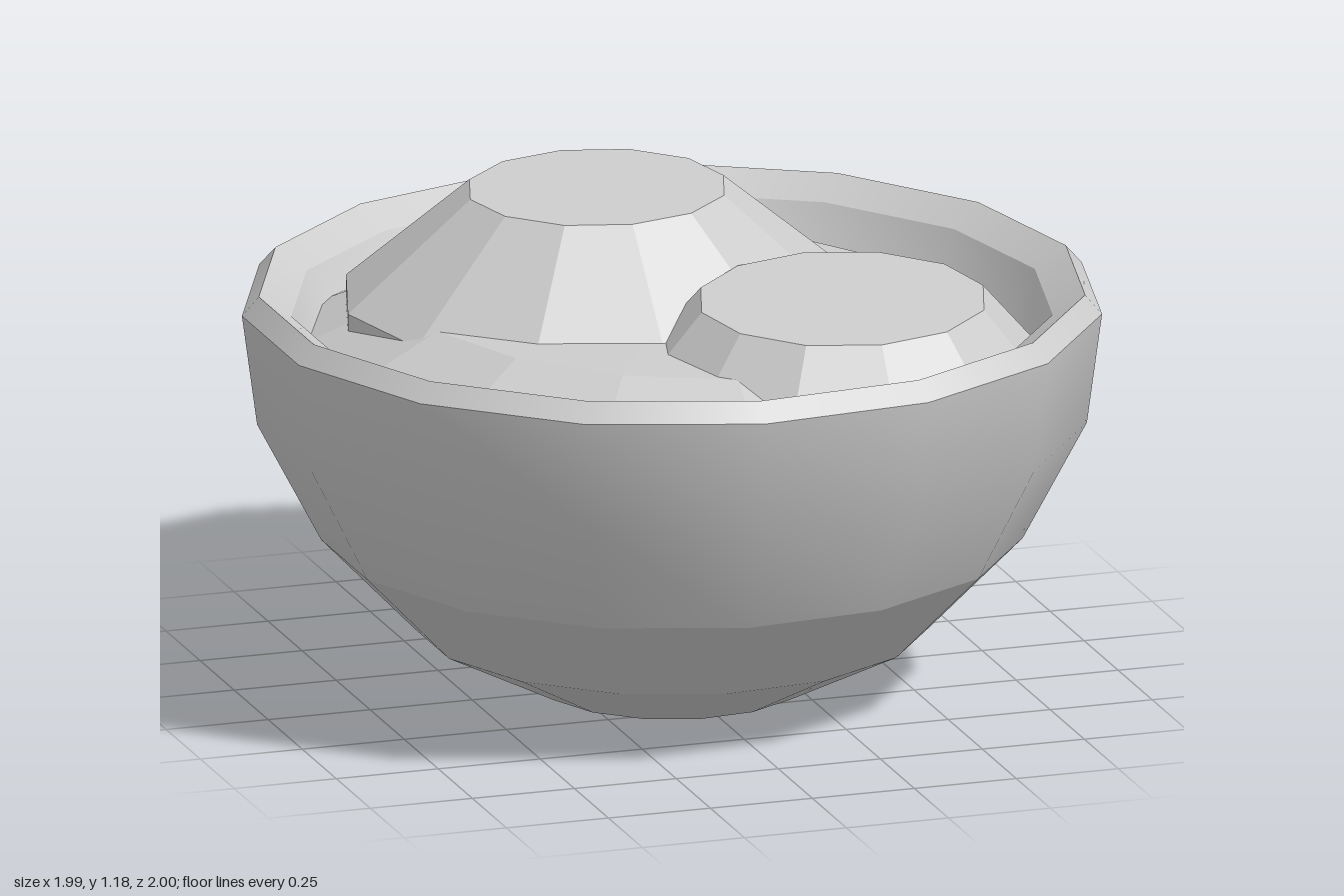
import * as THREE from 'three';

const SIDES = 15;

// Spun profile given as [radius, height]; the first vertex column lies on +x
function spin(profile, sides) {
  const points = profile.map(([r, y]) => new THREE.Vector2(r, y));
  return new THREE.LatheGeometry(points, sides, Math.PI / 2);
}

// Faceted heap: a spun profile squashed in z, sheared by a tilt, then moved into place
function mound(name, profile, sides, { x = 0, z = 0, depth = 1, tiltX = 0, tiltZ = 0 }) {
  const geometry = spin(profile, sides);
  geometry.scale(1, 1, depth);
  const p = geometry.attributes.position;
  for (let i = 0; i < p.count; i++) {
    p.setY(i, p.getY(i) + tiltX * p.getX(i) + tiltZ * p.getZ(i));
  }
  geometry.translate(x, 0, z);
  const mesh = new THREE.Mesh(geometry, new THREE.MeshStandardMaterial({ color: 0xcccccc, flatShading: true }));
  mesh.name = name;
  return mesh;
}

export function createModel() {
  const model = new THREE.Group();
  model.name = 'filledBowl';
  const smooth = new THREE.MeshStandardMaterial({ color: 0xcccccc });

  // Bowl: separate bands keep the horizontal creases sharp and the sides smooth
  const bowl = new THREE.Group();
  bowl.name = 'bowl';
  const bands = {
    bowlBottom: [[0, 0], [0.315, 0]],
    bowlFoot: [[0.315, 0], [0.6, 0.145]],
    bowlLowerWall: [[0.6, 0.145], [0.82, 0.37]],
    bowlUpperWall: [[0.82, 0.37], [0.97, 0.655], [1.0055, 0.92]],
    rimBevel: [[1.0055, 0.92], [0.966, 0.965]],
    rimInside: [[0.966, 0.965], [0.89, 0.915]],
    innerWall: [[0.89, 0.915], [0.83, 0.79], [0.7, 0.6]],
  };
  for (const [name, profile] of Object.entries(bands)) {
    const band = new THREE.Mesh(spin(profile, SIDES), smooth);
    band.name = name;
    bowl.add(band);
  }
  model.add(bowl);

  // Filling: a broad base with a tall scoop at the back and a low one in front
  const filling = new THREE.Group();
  filling.name = 'filling';
  filling.add(
    mound('fillingBase', [[0.87, 0.8], [0.65, 0.905], [0, 0.935]], SIDES,
      { x: 0.03, z: -0.04, tiltX: -0.045 }),
    mound('tallScoop', [[0.61, 0.8], [0.61, 0.915], [0.31, 1.165], [0, 1.165]], 12,
      { x: -0.13, z: -0.16, depth: 0.85, tiltZ: -0.055 }),
    mound('lowScoop', [[0.46, 0.76], [0.48, 0.86], [0.345, 1.015], [0, 1.015]], 12,
      { x: 0.285, z: 0.4, depth: 0.84, tiltZ: -0.1 }),
  );
  model.add(filling);

  // Odd side count shifts the centre slightly
  model.position.x = -0.011;
  return model;
}
